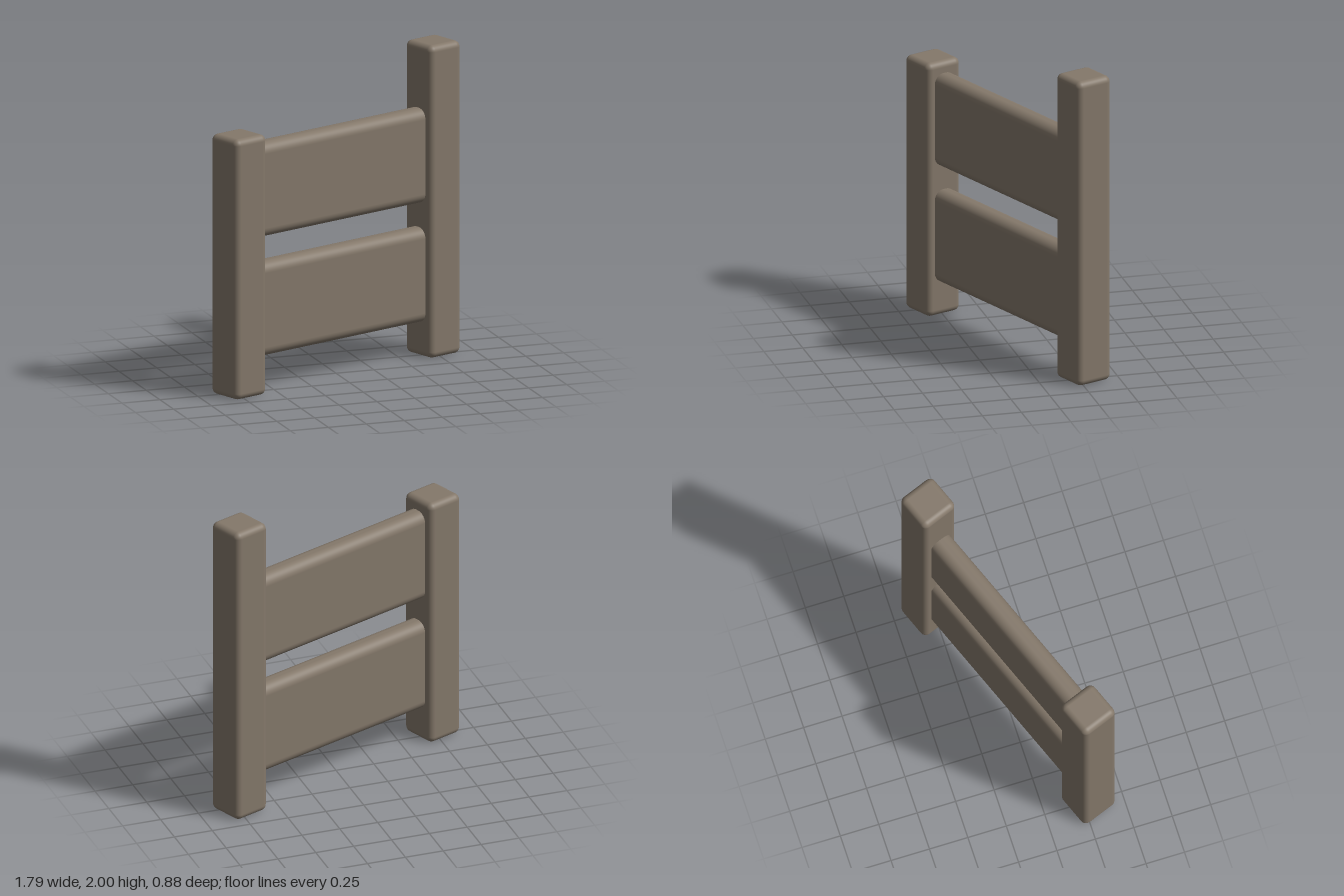
import * as THREE from 'three';
import { RoundedBoxGeometry } from 'three/addons/geometries/RoundedBoxGeometry.js';

export function createModel() {
  const model = new THREE.Group();
  model.name = 'fenceSection';
  const wood = new THREE.MeshStandardMaterial({ color: 0x84786a });

  // Rounded beam, placed by its centre x and its bottom height
  function addBeam(name, width, height, depth, radius, x, bottom) {
    const mesh = new THREE.Mesh(new RoundedBoxGeometry(width, height, depth, 5, radius), wood);
    mesh.name = name;
    mesh.position.set(x, bottom + height / 2, 0);
    model.add(mesh);
  }

  // Square posts, the left one taller
  const postX = 0.795;
  addBeam('leftPost', 0.255, 2, 0.255, 0.04, postX, 0);
  addBeam('rightPost', 0.255, 1.665, 0.255, 0.04, -postX, 0);

  // Wide rails with soft edges, ending inside the posts
  addBeam('lowerRail', 2 * postX, 0.605, 0.15, 0.065, 0, 0.222);
  addBeam('upperRail', 2 * postX, 0.605, 0.15, 0.065, 0, 0.985);

  // The whole section stands at a slant
  model.rotation.y = THREE.MathUtils.degToRad(21);
  return model;
}
